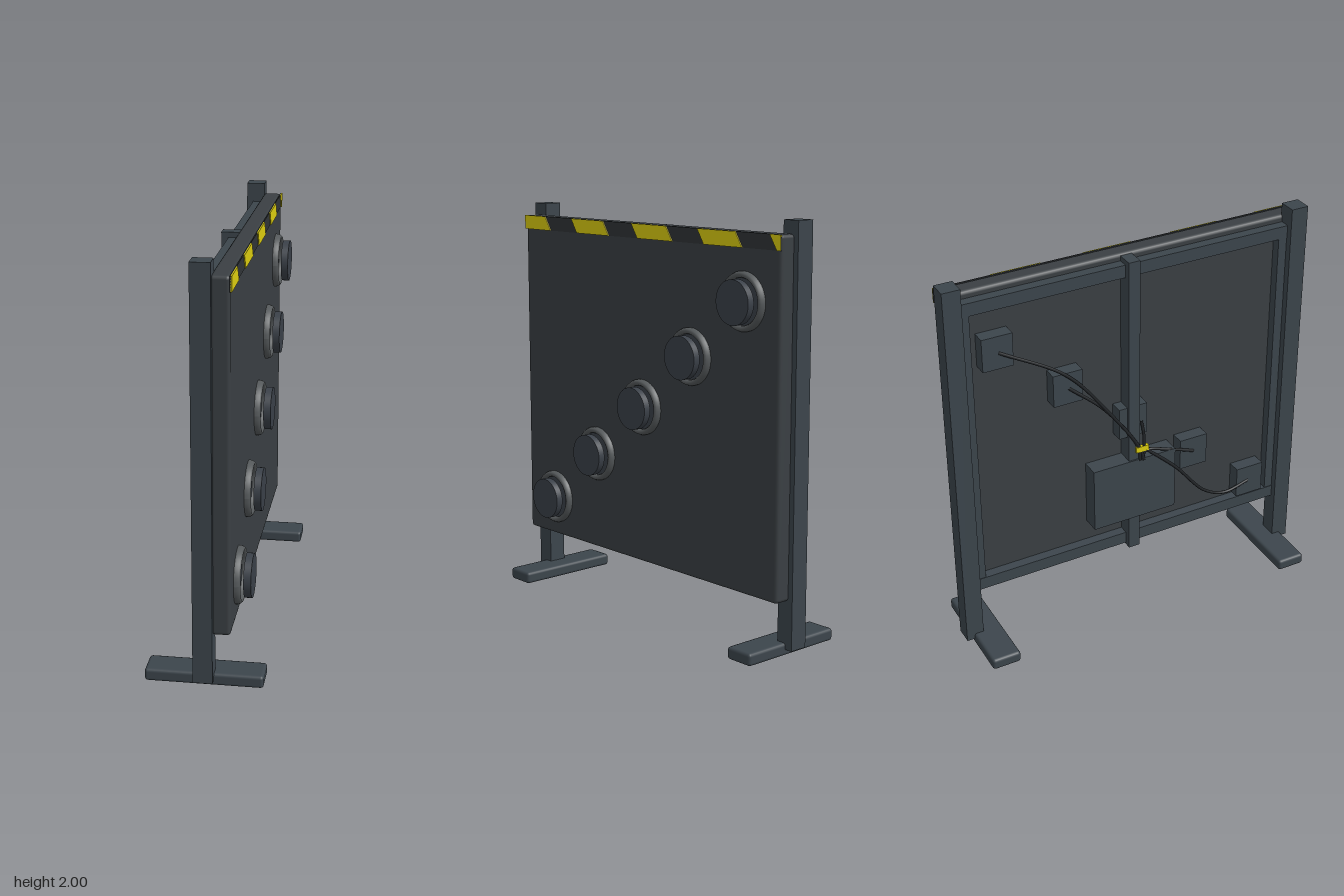
import * as THREE from 'three';
import { RoundedBoxGeometry } from 'three/addons/geometries/RoundedBoxGeometry.js';

const material = (name, color) => {
  const m = new THREE.MeshStandardMaterial({ color });
  m.name = name;
  return m;
};

export function createModel() {
  const group = new THREE.Group();
  const frame = material('frame steel', 0x3c454c);
  const panelGrey = material('panel grey', 0x3a3f43);
  const buttonGrey = material('button grey', 0x3a4048);
  const ringGrey = material('ring grey', 0x54585a);
  const dark = material('dark rubber', 0x212427);
  const stripeDark = material('stripe dark', 0x303437);
  const yellow = material('warning yellow', 0xdccd10);

  const add = (name, geometry, mat) => {
    const mesh = new THREE.Mesh(geometry, mat);
    mesh.name = name;
    group.add(mesh);
    return mesh;
  };
  // Box given by its limits on each axis, optionally with rounded edges
  const box = (name, mat, [x0, x1], [y0, y1], [z0, z1], round = 0) => {
    const size = [x1 - x0, y1 - y0, z1 - z0];
    const geometry = round ? new RoundedBoxGeometry(...size, 2, round) : new THREE.BoxGeometry(...size);
    add(name, geometry, mat).position.set((x0 + x1) / 2, (y0 + y1) / 2, (z0 + z1) / 2);
  };

  // Stand and rear framework
  for (const s of [-1, 1]) {
    const span = (a, b) => (s > 0 ? [a, b] : [-b, -a]);
    box('post', frame, [-0.047, 0.045], [0.03, 2], span(0.86, 0.95));
    box('foot', frame, [-0.28, 0.275], [0, 0.06], span(0.76, 0.91), 0.015);
    box('sideRail', frame, [-0.012, 0.05], [0.3, 1.905], span(0.815, 0.87));
  }
  for (const y of [0.3, 1.84]) box('crossRail', frame, [-0.015, 0.05], [y, y + 0.065], [-0.87, 0.87]);
  box('centreRail', frame, [-0.05, 0.045], [0.29, 1.93], [-0.03, 0.03]);

  // Front panel
  box('panel', panelGrey, [0.035, 0.125], [0.265, 1.94], [-0.925, 0.925], 0.018);

  // Hazard strip, with slanted yellow blocks clipped at both ends
  box('hazardBacking', stripeDark, [0.122, 0.127], [1.87, 1.94], [-0.925, 0.925]);
  const clip = (u) => THREE.MathUtils.clamp(u, -0.925, 0.925);
  for (let i = 0; i < 5; i++) {
    const a = -1.005 + i * 0.466;
    const b = a + 0.25;
    const points = [[clip(a + 0.045), 1.87], [clip(b + 0.045), 1.87], [clip(b), 1.94], [clip(a), 1.94]];
    const shape = new THREE.Shape(points.map((p) => new THREE.Vector2(...p)));
    const geometry = new THREE.ExtrudeGeometry(shape, { depth: 0.006, bevelEnabled: false });
    add('hazardStripe', geometry.rotateY(Math.PI / 2).translate(0.126, 0, 0), yellow);
  }

  // Diagonal row of buttons, each with a ring, a floating cap and a rear housing
  const ringProfile = [[0.109, 0], [0.109, 0.018], [0.114, 0.026], [0.124, 0.03], [0.132, 0.022], [0.137, 0.01], [0.137, -0.004]]
    .map(([r, h]) => new THREE.Vector2(r, h)).reverse();
  const ring = new THREE.LatheGeometry(ringProfile, 40).rotateZ(-Math.PI / 2);
  ring.computeVertexNormals();
  const ringMat = ringGrey.clone();
  ringMat.side = THREE.DoubleSide;
  const base = new THREE.CylinderGeometry(0.11, 0.11, 0.02, 40).rotateZ(-Math.PI / 2);
  const cap = new THREE.CylinderGeometry(0.104, 0.104, 0.035, 40).rotateZ(-Math.PI / 2);
  const buttons = [0, 1, 2, 3, 4].map((i) => [1.63 - i * 0.29, -0.697 + i * 0.349]);
  for (const [y, z] of buttons) {
    add('buttonRing', ring, ringMat).position.set(0.126, y, z);
    add('buttonBase', base, buttonGrey).position.set(0.121, y, z);
    add('buttonCap', cap, buttonGrey).position.set(0.183, y, z);
    box('buttonHousing', frame, [-0.035, 0.04], [y - 0.085, y + 0.085], [z - 0.077, z + 0.077]);
  }

  // Control box with cables gathered above it by a yellow tie
  box('controlBox', frame, [-0.058, 0.04], [0.48, 0.83], [-0.23, 0.23]);
  const cable = (points) => {
    const curve = new THREE.CatmullRomCurve3(points.map((p) => new THREE.Vector3(...p)));
    add('cable', new THREE.TubeGeometry(curve, 32, 0.008, 8), dark);
  };
  cable([[-0.034, 1.63, -0.695], [-0.047, 1.42, -0.36], [-0.055, 1.15, -0.14], [-0.056, 0.89, 0.03], [-0.056, 0.82, 0.05]]);
  cable([[-0.034, 1.34, -0.345], [-0.05, 1.17, -0.16], [-0.054, 0.9, 0.02], [-0.054, 0.82, 0.03]]);
  cable([[-0.045, 1.05, 0.04], [-0.054, 0.97, 0.05], [-0.054, 0.82, 0.05]]);
  cable([[-0.034, 0.765, 0.35], [-0.05, 0.83, 0.2], [-0.054, 0.87, 0.06], [-0.054, 0.82, 0.04]]);
  cable([[-0.056, 0.89, 0.05], [-0.058, 0.72, 0.23], [-0.045, 0.5, 0.42], [-0.036, 0.44, 0.55], [-0.034, 0.47, 0.69]]);
  box('cableTie', yellow, [-0.064, -0.045], [0.875, 0.905], [0.005, 0.075]);

  return group;
}
